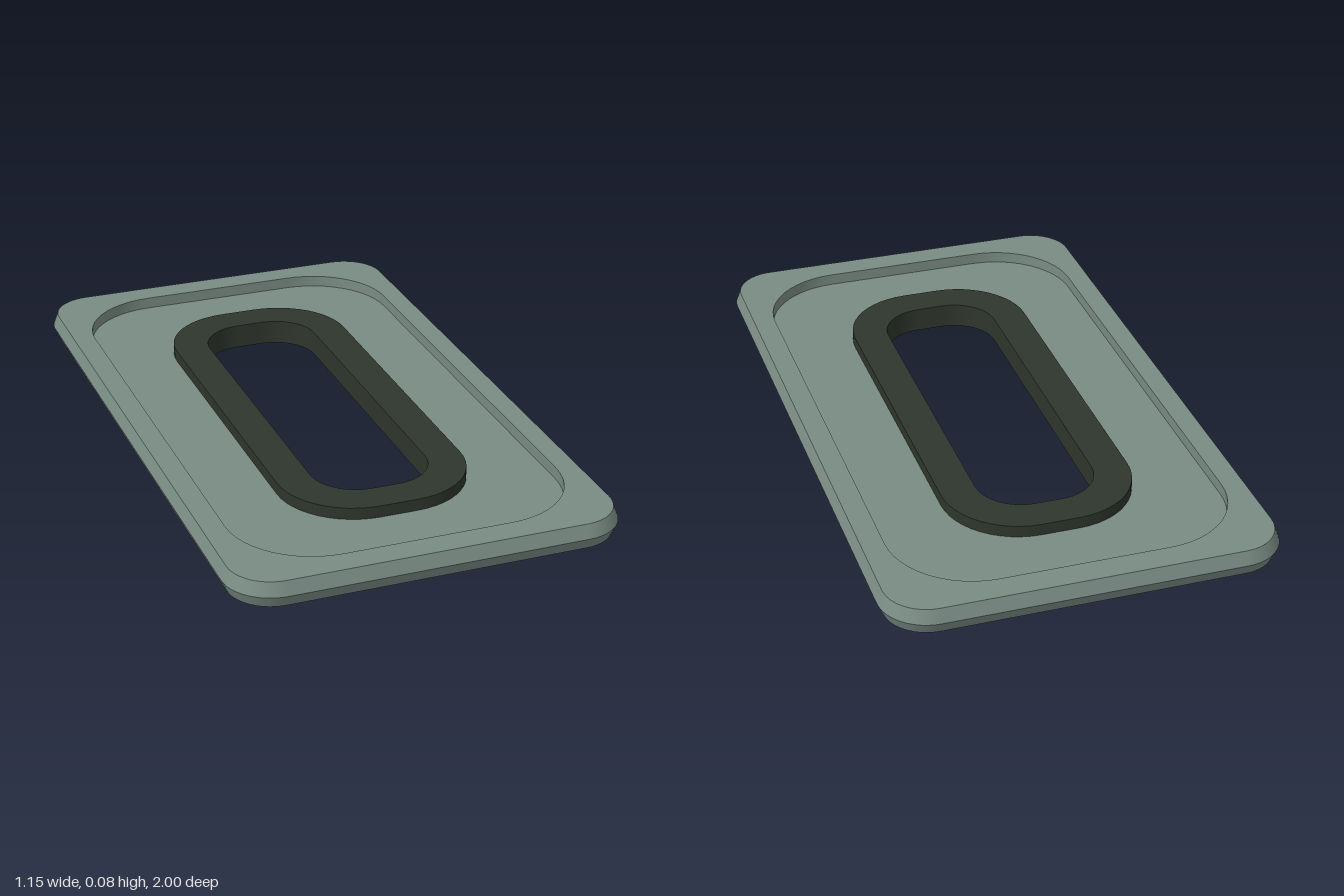
import * as THREE from 'three';

const CORNER_STEPS = 12;

// Rounded-rectangle loop at height y, going from +x towards +z
function loop({ x, z, r, y }) {
  const points = [];
  const corners = [[1, 1], [-1, 1], [-1, -1], [1, -1]];
  corners.forEach(([sx, sz], c) => {
    for (let i = 0; i <= CORNER_STEPS; i++) {
      const a = (c + i / CORNER_STEPS) * Math.PI / 2;
      points.push([sx * (x - r) + r * Math.cos(a), y, sz * (z - r) + r * Math.sin(a)]);
    }
  });
  return points;
}

// Joins successive loops; each band has its own vertices so profile edges stay sharp
function loft(profile) {
  const positions = [];
  const indices = [];
  for (let b = 0; b < profile.length - 1; b++) {
    const lower = loop(profile[b]);
    const upper = loop(profile[b + 1]);
    const n = lower.length;
    const start = positions.length / 3;
    positions.push(...lower.flat(), ...upper.flat());
    for (let i = 0; i < n; i++) {
      const j = (i + 1) % n;
      const a0 = start + i, a1 = start + j;
      indices.push(a0, a0 + n, a1, a1, a0 + n, a1 + n);
    }
  }
  const geometry = new THREE.BufferGeometry();
  geometry.setAttribute('position', new THREE.Float32BufferAttribute(positions, 3));
  geometry.setIndex(indices);
  geometry.computeVertexNormals();
  return geometry;
}

export function createModel() {
  const plateMaterial = new THREE.MeshStandardMaterial({ name: 'greyGreen', color: 0x7a8c84 });
  const ringMaterial = new THREE.MeshStandardMaterial({ name: 'darkOlive', color: 0x2f362d });

  const top = 0.075, middle = 0.035, floor = 0.04;
  const slot = { x: 0.28, z: 0.695, r: 0.225 };
  const opening = { x: 0.175, z: 0.59, r: 0.135 };
  const rim = { x: 0.56, z: 0.985, r: 0.125 };
  const recess = { x: 0.495, z: 0.905, r: 0.25 };

  // Bevelled plate with a sunken top panel
  const plate = new THREE.Mesh(loft([
    { ...slot, y: 0 },
    { ...rim, y: 0 },
    { x: 0.575, z: 1, r: 0.14, y: middle },
    { ...rim, y: top },
    { ...recess, y: top },
    { ...recess, y: floor },
    { ...slot, y: floor },
  ]), plateMaterial);
  plate.name = 'plate';

  // Raised collar lining the central slot
  const ring = new THREE.Mesh(loft([
    { ...opening, y: 0 },
    { ...slot, y: 0 },
    { ...slot, y: top },
    { ...opening, y: top },
    { ...opening, y: 0 },
  ]), ringMaterial);
  ring.name = 'slotCollar';

  const group = new THREE.Group();
  group.name = 'slottedPlate';
  group.add(plate, ring);
  return group;
}
